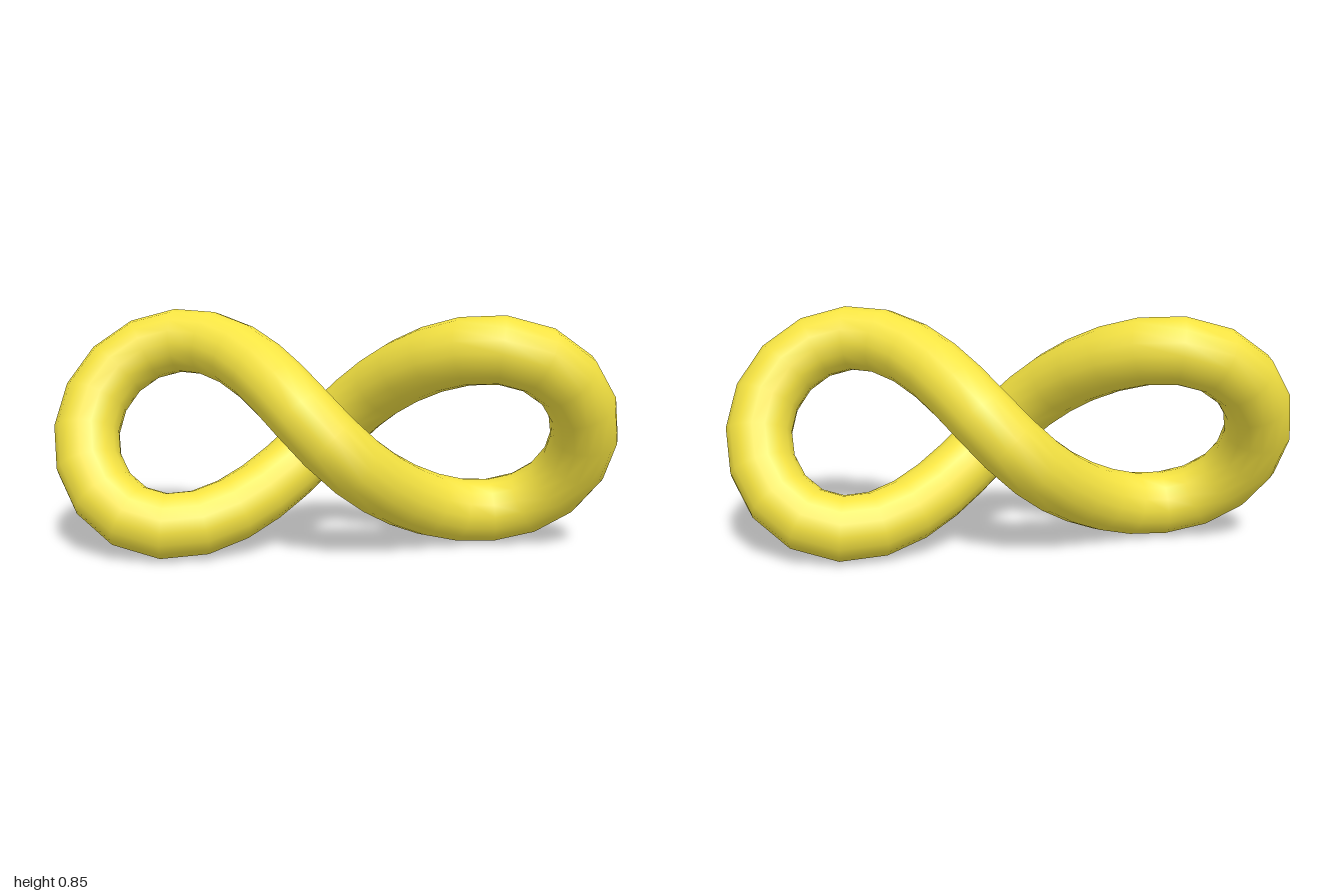
import * as THREE from 'three';

// Closed figure-eight (lemniscate) centre line whose strands weave in depth
class WovenLoopCurve extends THREE.Curve {
  getPoint(u, target = new THREE.Vector3()) {
    const t = u * Math.PI * 2;
    const s = Math.sin(t), c = Math.cos(t);
    const k = 0.884 / (1 + s * s);
    return target.set(k * c, 0.43 + k * s * c, 0.162 * Math.sin(3 * t) - 0.013 * s);
  }
}

export function createModel() {
  const group = new THREE.Group();
  group.name = 'infinityLoop';

  // Round tube swept along the loop
  const tube = new THREE.Mesh(
    new THREE.TubeGeometry(new WovenLoopCurve(), 40, 0.116, 16, true),
    new THREE.MeshStandardMaterial({ color: 0xf5e342 })
  );
  tube.name = 'loopTube';
  group.add(tube);

  return group;
}
